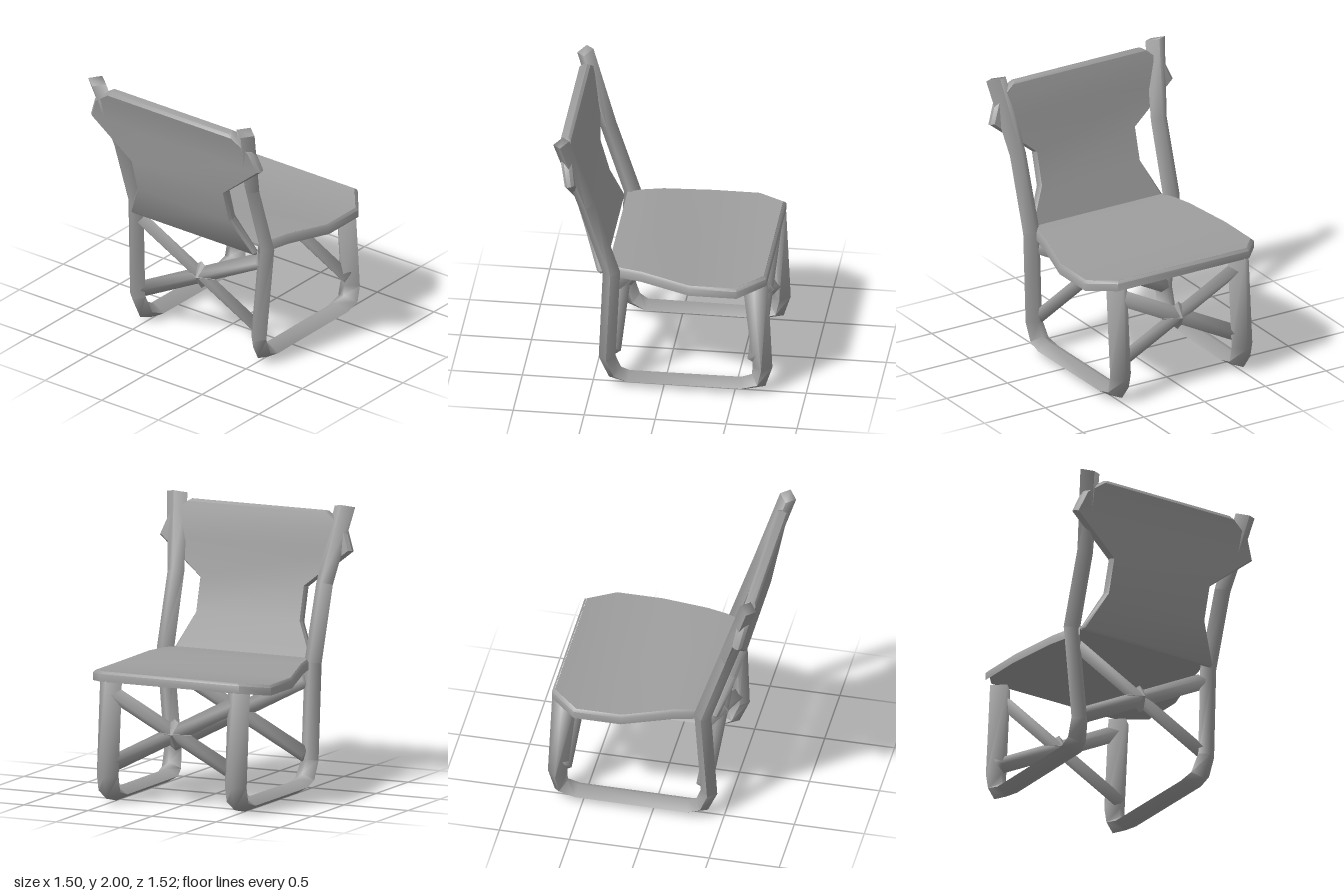
import * as THREE from 'three';
import { toCreasedNormals } from 'three/addons/utils/BufferGeometryUtils.js';

const material = new THREE.MeshStandardMaterial({ color: 0x9e9e9e });
const DIAMOND = [[1, 0], [0, 1], [-1, 0], [0, -1]];
const SHEET = [[1, -1], [1, 1], [-1, 1], [-1, -1]];
const BEVELLED = [[0.97, -1], [1, -0.4], [1, 0.4], [0.97, 1],
  [-0.97, 1], [-1, 0.4], [-1, -0.4], [-0.97, -1]];

function buildGeometry(pos, index, crease) {
  const geo = new THREE.BufferGeometry();
  geo.setAttribute('position', new THREE.Float32BufferAttribute(pos, 3));
  geo.setIndex(index);
  return toCreasedNormals(geo, crease);
}

// Sweeps a section along stations [x, y, z, halfWidth, halfDepth];
// width runs along x, depth is square to the path in the yz plane.
function sweep(stations, section, crease) {
  const pos = [], index = [], last = stations.length - 1, n = section.length;
  stations.forEach(([x, y, z, a, b], i) => {
    const dir = (j) => new THREE.Vector2(
      stations[j + 1][1] - stations[j][1], stations[j + 1][2] - stations[j][2]).normalize();
    const t = dir(Math.max(i - 1, 0)).add(dir(Math.min(i, last - 1))).normalize();
    for (const [u, v] of section) pos.push(x + u * a, y + v * b * t.y, z - v * b * t.x);
    if (i < last) for (let k = 0; k < n; k++) {
      const p = i * n + k, q = i * n + (k + 1) % n;
      index.push(p, q, q + n, p, q + n, p + n);
    }
  });
  const e = last * n;
  for (let k = 1; k < n - 1; k++) index.push(0, k + 1, k, e, e + k, e + k + 1);
  return buildGeometry(pos, index, crease);
}

// Hanging rim around an open outline of [x, y, z]; rows are [inset scale, drop]
function skirt(outline, rows, crease) {
  const pos = [], index = [], n = outline.length;
  rows.forEach(([scale, drop], r) => outline.forEach(([x, y, z], i) => {
    pos.push(x * scale, y - drop, z * scale);
    if (r > 0 && i > 0) {
      const q = r * n + i - 1, p = q - n;
      index.push(p, q, q + 1, p, q + 1, p + 1);
    }
  }));
  return buildGeometry(pos, index, crease);
}

export function createModel() {
  const model = new THREE.Group();
  const add = (name, geo, parent = model) => {
    const mesh = new THREE.Mesh(geo, material);
    mesh.name = name;
    parent.add(mesh);
    return mesh;
  };

  // Side frames: back post, rear leg, runner and front leg in one bent bar
  const frame = [
    [0.655, 1.98, 0.705, 0.08, 0.06],
    [0.58, 1.45, 0.535, 0.065, 0.06],
    [0.577, 0.92, 0.362, 0.067, 0.062],
    [0.535, 0.22, 0.398, 0.067, 0.06],
    [0.52, 0.09, 0.345, 0.075, 0.06],
    [0.505, 0.052, 0.25, 0.085, 0.05],
    [0.5, 0.052, -0.55, 0.085, 0.05],
    [0.5, 0.085, -0.665, 0.085, 0.065],
    [0.5, 0.2, -0.692, 0.085, 0.07],
    [0.5, 0.87, -0.64, 0.085, 0.09],
  ];
  for (const [side, s] of [['left', 1], ['right', -1]]) {
    add(side + 'Frame', sweep(frame.map(([x, ...rest]) => [s * x, ...rest]), DIAMOND, 1.65));
  }

  // Seat: thin sheet with clipped front corners and a turned-down rim
  const seatRows = [ // half width, top y, z
    [0.53, 0.945, 0.4], [0.57, 0.948, 0.3], [0.607, 0.948, 0.15],
    [0.695, 0.911, -0.2], [0.695, 0.911, -0.535], [0.54, 0.942, -0.725],
  ];
  const seat = new THREE.Group();
  seat.name = 'seat';
  model.add(seat);
  add('seatSheet', sweep(seatRows.map(([w, y, z]) =>
    [0, y - 0.01, z * 0.975, w * 0.975, 0.01]).reverse(), SHEET, 0.6), seat);
  const rim = [...seatRows, ...[...seatRows].reverse().map(([w, y, z]) => [-w, y, z])];
  add('seatRim', skirt(rim, [[0.975, 0], [1, 0.018], [1, 0.072]], 0.9), seat);

  // Backrest: waisted panel with wings lapping behind the posts
  add('backrest', sweep([
    [0, 0.887, 0.441, 0.545, 0.012],
    [0, 0.905, 0.442, 0.55, 0.028],
    [0, 1.17, 0.535, 0.415, 0.036],
    [0, 1.41, 0.602, 0.415, 0.036],
    [0, 1.68, 0.638, 0.75, 0.034],
    [0, 1.83, 0.668, 0.69, 0.038],
    [0, 1.922, 0.693, 0.56, 0.04],
    [0, 1.942, 0.698, 0.53, 0.024],
  ], BEVELLED, 0.6));

  // Crossed braces between the rear legs and between the front legs
  for (const [name, z] of [['rearBrace', 0.36], ['frontBrace', -0.645]]) {
    const brace = new THREE.Group();
    brace.name = name;
    brace.position.set(0, 0.53, z);
    for (const s of [1, -1]) {
      const bar = add('braceBar', toCreasedNormals(
        new THREE.CylinderGeometry(0.057, 0.057, 1.17, 4), 1.65), brace);
      bar.rotation.z = s * Math.atan2(1.04, 0.54);
    }
    add('braceJoint', new THREE.OctahedronGeometry(1), brace).scale.set(0.13, 0.105, 0.065);
    model.add(brace);
  }
  return model;
}
